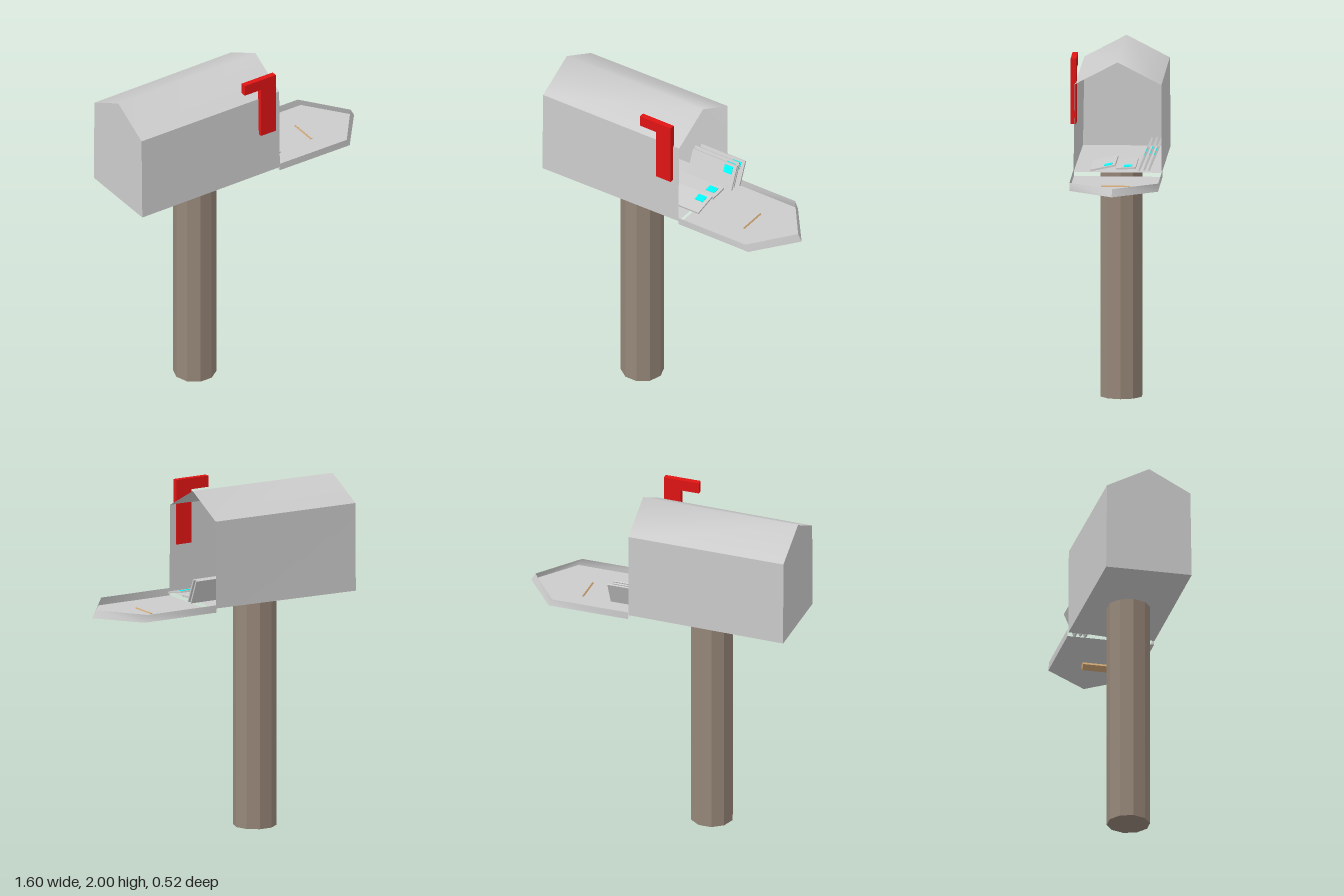
import * as THREE from 'three';
import { toCreasedNormals } from 'three/addons/utils/BufferGeometryUtils.js';

const material = (color, flatShading = false) =>
  new THREE.MeshStandardMaterial({ color, flatShading, side: THREE.DoubleSide });

// Thin open shell: walls from the open ring to the closed ring, which is capped
function openShell(open, closed, walls) {
  const n = open.length;
  const index = [];
  for (let i = 0; i < walls; i++) {
    const j = (i + 1) % n;
    index.push(i, n + i, n + j, i, n + j, j);
  }
  for (let i = 1; i < n - 1; i++) index.push(n, n + i + 1, n + i);
  const g = new THREE.BufferGeometry();
  g.setAttribute('position', new THREE.Float32BufferAttribute([...open, ...closed].flat(), 3));
  g.setIndex(index);
  return toCreasedNormals(g, THREE.MathUtils.degToRad(58));
}

function addMesh(parent, name, geometry, mat, x = 0, y = 0, z = 0) {
  const mesh = new THREE.Mesh(geometry, mat);
  mesh.name = name;
  mesh.position.set(x, y, z);
  parent.add(mesh);
  return mesh;
}

export function createModel() {
  const model = new THREE.Group();
  model.name = 'mailbox';
  const grey = material(0xcccccc);
  const wood = material(0x968678, true);
  const red = material(0xe01414);
  const cyan = material(0x00ffff);
  const tan = material(0xc8a070);

  // Ten-sided post
  addMesh(model, 'post', new THREE.CylinderGeometry(0.123, 0.123, 1.349, 10, 1, false, Math.PI / 2),
    wood, -0.283, 0.6745, -0.006);

  // Gabled box, open towards the door and slightly lower at the back
  const mouth = [[0.13, 1.356, 0.243], [0.13, 1.356, -0.257], [0.13, 1.86, -0.255],
    [0.13, 1.988, -0.007], [0.13, 1.86, 0.236]];
  const back = [[-0.8, 1.345, 0.24], [-0.8, 1.345, -0.257], [-0.8, 1.853, -0.252],
    [-0.8, 1.98, -0.007], [-0.8, 1.853, 0.232]];
  addMesh(model, 'box', openShell(mouth, back, 5), grey);

  // Lowered door: a shallow tray with a pointed end and sloping tip walls
  const rim = [[0.13, 1.376, 0.241], [0.585, 1.376, 0.241], [0.776, 1.376, -0.01],
    [0.585, 1.376, -0.262], [0.13, 1.376, -0.262]];
  const floor = [[0.13, 1.333, 0.241], [0.605, 1.333, 0.241], [0.8, 1.333, -0.01],
    [0.605, 1.333, -0.262], [0.13, 1.333, -0.262]];
  addMesh(model, 'door', openShell(rim, floor, 4), grey);

  // Door handle, a square bar set on edge through the door floor
  const handle = addMesh(model, 'doorHandle', new THREE.BoxGeometry(0.037, 0.037, 0.168),
    tan, 0.459, 1.313, -0.015);
  handle.rotation.z = Math.PI / 4;

  // Raised flag
  const outline = [[-0.01, 1.625], [0.09, 1.625], [0.09, 2], [-0.12, 2], [-0.12, 1.935], [-0.01, 1.935]];
  const flagShape = new THREE.Shape(outline.map(([x, y]) => new THREE.Vector2(x, y)));
  addMesh(model, 'flag', new THREE.ExtrudeGeometry(flagShape, { depth: 0.032, bevelEnabled: false }),
    red, 0, 0, 0.23);

  // Letters: end of the letter in x, centre in y and z, height, tilt, stamp offset along the height
  const letters = [
    [0.24, 1.454, -0.163, 0.15, -0.40, 0.038],
    [0.235, 1.457, -0.192, 0.15, -0.40, 0.038],
    [0.257, 1.460, -0.220, 0.15, -0.40, 0.038],
    [0.2, 1.393, 0.073, 0.145, -1.36, 0.03],
    [0.2, 1.392, -0.058, 0.11, -1.52, 0.01],
  ];
  letters.forEach(([end, y, z, height, tilt, stampY], i) => {
    const letter = new THREE.Group();
    letter.name = 'letter' + (i + 1);
    letter.position.set(end - 0.15, y, z);
    letter.rotation.x = tilt;
    addMesh(letter, 'envelope', new THREE.BoxGeometry(0.3, height, 0.01), grey);
    addMesh(letter, 'stamp', new THREE.BoxGeometry(0.055, 0.046, 0.004), cyan, 0.1, stampY, 0.006);
    model.add(letter);
  });

  return model;
}
